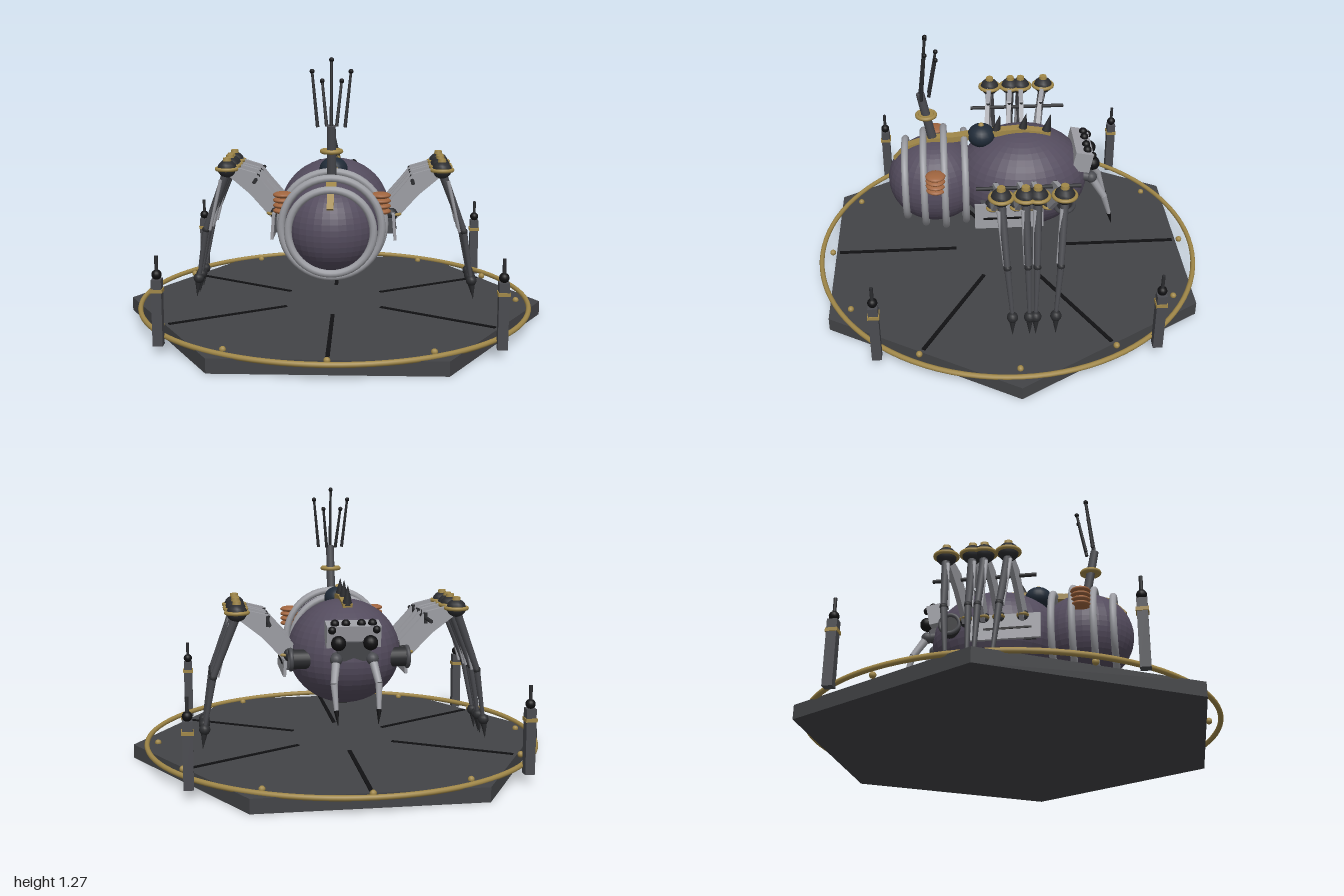
import * as THREE from 'three';

const mat = (color, flatShading = false) => new THREE.MeshStandardMaterial({ color, flatShading });
const M = {
  base: mat(0x434447, true), dark: mat(0x2b2c2f), black: mat(0x111113), gold: mat(0xa08748),
  steel: mat(0x9c9da3), gun: mat(0x4a4b50), shell: mat(0x544c5e, true), copper: mat(0xa0653f), glass: mat(0x202b38),
};
const V = (x, y, z) => new THREE.Vector3(x, y, z);

export function createModel() {
  const root = new THREE.Group();
  root.name = 'mechanicalSpider';

  const add = (name, geo, material, pos = [0, 0, 0], rot = [0, 0, 0], parent = root) => {
    const m = new THREE.Mesh(geo, material);
    m.name = name;
    m.position.set(...pos);
    m.rotation.set(...rot);
    parent.add(m);
    return m;
  };
  const ball = (name, r, material, pos, scale = [1, 1, 1], parent = root, seg = 16) => {
    const m = add(name, new THREE.SphereGeometry(r, seg, Math.ceil(seg * 0.7)), material, pos, [0, 0, 0], parent);
    m.scale.set(...scale);
    return m;
  };
  const box = (name, size, material, pos, rot, parent) =>
    add(name, new THREE.BoxGeometry(...size), material, pos, rot, parent);
  // tapered round bar from a to b
  const rod = (name, a, b, ra, rb, material, parent = root, seg = 10) => {
    const p = V(...a), d = V(...b).sub(p);
    const m = add(name, new THREE.CylinderGeometry(rb, ra, d.length(), seg), material, [0, 0, 0], [0, 0, 0], parent);
    m.position.copy(p).addScaledVector(d, 0.5);
    m.quaternion.setFromUnitVectors(V(0, 1, 0), d.normalize());
    return m;
  };
  const ring = (name, R, t, material, pos, rot, parent, seg = 40) =>
    add(name, new THREE.TorusGeometry(R, t, 10, seg), material, pos, rot, parent);
  // plate outlined in the xy plane with thickness along z
  const plate = (name, pts, depth, material, z, parent) => {
    const g = new THREE.ExtrudeGeometry(new THREE.Shape(pts.map(p => new THREE.Vector2(...p))), { depth, bevelEnabled: false });
    g.translate(0, 0, -depth / 2);
    return add(name, g, material, [0, 0, z], [0, 0, 0], parent);
  };
  const flat = [Math.PI / 2, 0, 0];

  // Platform: hexagonal slab, rail, rivets, grooves
  add('platform', new THREE.CylinderGeometry(1, 1, 0.065, 6), M.base, [0, 0.0325, 0], [0, Math.PI / 6, 0]);
  ring('platformRail', 0.937, 0.012, M.gold, [0, 0.07, 0], flat, root, 96);
  for (let i = 0; i < 12; i++) {
    const a = i * Math.PI / 6;
    ball('rivet', 0.015, M.gold, [0.885 * Math.cos(a), 0.07, 0.885 * Math.sin(a)], [1, 1, 1], root, 10);
    if (i % 2) box('groove', [0.59, 0.008, 0.018], M.black, [0.555 * Math.cos(a), 0.066, 0.555 * Math.sin(a)], [0, -a, 0]);
  }

  // Corner beacons
  for (const x of [-0.74, 0.74]) for (const z of [-0.632, 0.632]) {
    const g = new THREE.Group();
    g.name = 'beacon';
    g.position.set(x, 0, z);
    root.add(g);
    box('beaconPost', [0.044, 0.295, 0.044], M.gun, [0, 0.187, 0], [0, 0, 0], g);
    box('beaconBand', [0.052, 0.016, 0.052], M.gold, [0, 0.285, 0], [0, 0, 0], g);
    ball('beaconLamp', 0.022, M.black, [0, 0.354, 0], [1, 1, 1], g);
    rod('beaconAerial', [0, 0.36, 0], [0, 0.437, 0], 0.008, 0.008, M.dark, g);
  }

  // Body shells
  ball('thorax', 1, M.shell, [0, 0.51, -0.07], [0.265, 0.245, 0.315], root, 36);
  ball('abdomen', 1, M.shell, [0, 0.51, 0.35], [0.21, 0.21, 0.225], root, 36);
  ball('bellyPort', 0.065, M.black, [0, 0.285, -0.05], [1, 0.55, 1]);
  for (const [z, r] of [[0.49, 0.187], [0.402, 0.224], [0.305, 0.238], [0.208, 0.217]])
    ring('abdomenHoop', r, 0.017, M.steel, [0, 0.513, z], [0, 0, 0], root, 48);

  // Gold spine, following the back
  const spine = [[0.535, 0.62], [0.475, 0.685], [0.36, 0.722], [0.25, 0.728], [0.12, 0.745], [-0.05, 0.758], [-0.2, 0.735]];
  spine.slice(1).forEach(([z, y], i) => {
    const [z0, y0] = spine[i];
    box('spinePlate', [i ? 0.046 : 0.03, 0.028, Math.hypot(z - z0, y - y0) + 0.006], M.gold,
      [0, (y + y0) / 2, (z + z0) / 2], [Math.atan2(y - y0, z0 - z), 0, 0]);
  });
  for (const [z, y] of [[0.055, 0.75], [-0.07, 0.755], [-0.185, 0.745]])
    rod('spineSpike', [0, y, z], [0, y + 0.09, z - 0.02], 0.024, 0.001, M.dark);
  ball('backDome', 0.066, M.glass, [0, 0.735, 0.125], [1, 0.85, 1], root, 20);
  ball('domeStud', 0.014, M.gold, [0, 0.788, 0.125]);

  // Mast with aerial fan
  rod('mast', [0, 0.69, 0.35], [0, 0.97, 0.405], 0.022, 0.02, M.gun);
  ring('mastCollar', 0.042, 0.01, M.gold, [0, 0.855, 0.382], flat);
  rod('mastCollarDisc', [0, 0.85, 0.382], [0, 0.86, 0.382], 0.042, 0.042, M.gold);
  for (const [x0, z0, x1, y1, z1] of [[0, 0.405, 0, 1.255, 0.372], [-0.06, 0.4, -0.085, 1.205, 0.375],
    [0.06, 0.4, 0.085, 1.205, 0.375], [-0.022, 0.365, -0.043, 1.16, 0.327], [0.022, 0.365, 0.043, 1.16, 0.327]]) {
    rod('aerial', [x0, 0.963, z0], [x1, y1, z1], 0.008, 0.006, M.dark);
    ball('aerialTip', 0.011, M.black, [x1, y1, z1], [1, 1, 1], root, 10);
  }

  // Head block and upper eyes
  box('headBlock', [0.245, 0.1, 0.085], M.steel, [0, 0.635, -0.35], [-0.2, 0, 0]);
  box('faceMask', [0.15, 0.09, 0.05], M.gun, [0, 0.565, -0.365], [-0.2, 0, 0]);
  for (const x of [-0.085, -0.035, 0.035, 0.085]) ball('smallEye', 0.02, M.black, [x, 0.685, -0.375]);

  for (const s of [-1, 1]) {
    // Face: large eyes and fangs
    ball('largeEye', 0.034, M.black, [s * 0.072, 0.602, -0.405]);
    ball('outerEye', 0.018, M.black, [s * 0.1, 0.66, -0.4]);
    rod('fangMount', [s * 0.07, 0.54, -0.31], [s * 0.082, 0.528, -0.4], 0.025, 0.022, M.gun);
    ball('fangJoint', 0.028, M.gun, [s * 0.082, 0.528, -0.4]);
    rod('fangUpper', [s * 0.082, 0.528, -0.4], [s * 0.1, 0.43, -0.462], 0.02, 0.016, M.steel);
    rod('fangLower', [s * 0.1, 0.43, -0.462], [s * 0.095, 0.32, -0.495], 0.016, 0.01, M.steel);
    rod('fangTip', [s * 0.095, 0.32, -0.495], [s * 0.09, 0.257, -0.51], 0.012, 0.001, M.black);

    // Copper coil
    rod('coilCore', [s * 0.218, 0.57, 0.347], [s * 0.218, 0.66, 0.347], 0.03, 0.03, M.copper);
    for (let i = 0; i < 4; i++) ball('coilTurn', 0.047, M.copper, [s * 0.218, 0.58 + i * 0.024, 0.347], [1, 0.32, 1]);

    // Side hatch, vent slot and round port
    box('sidePlate', [0.014, 0.125, 0.32], M.steel, [s * 0.285, 0.465, 0.01], [0, 0, s * 0.08]);
    box('sidePlateStay', [0.08, 0.07, 0.26], M.gun, [s * 0.245, 0.465, 0.01]);
    box('ventSlot', [0.008, 0.01, 0.22], M.black, [s * 0.292, 0.455, 0.02]);
    rod('sidePort', [s * 0.18, 0.505, -0.25], [s * 0.27, 0.505, -0.25], 0.045, 0.045, M.dark, root, 20);
    ring('sidePortRim', 0.045, 0.01, M.gun, [s * 0.27, 0.505, -0.25], [0, Math.PI / 2, 0]);
    rod('legTieRod', [s * 0.37, 0.675, -0.31], [s * 0.37, 0.675, 0.165], 0.009, 0.009, M.dark);

    // Legs: hip z, knee z, foot z
    for (const [hz, kz, fz] of [[0.09, 0.06, 0.02], [-0.02, -0.047, -0.057], [-0.09, -0.1, -0.085], [-0.17, -0.218, -0.176]]) {
      const leg = new THREE.Group();
      leg.name = s > 0 ? 'leftLeg' : 'rightLeg';
      root.add(leg);
      ball('hipBall', 0.033, M.dark, [s * 0.27, 0.515, hz], [1, 1, 1], leg);
      ring('hipRing', 0.022, 0.007, M.gold, [s * 0.292, 0.515, hz], flat, leg, 20);
      const thigh = plate('thigh', [[0.26, 0.5], [0.295, 0.49], [0.4, 0.605], [0.51, 0.695], [0.5, 0.74], [0.37, 0.705], [0.33, 0.655], [0.25, 0.565]],
        0.022, M.steel, 0, leg);
      // skew the plate so it runs from the hip to the knee
      const p = thigh.geometry.attributes.position;
      for (let i = 0; i < p.count; i++) {
        const x = p.getX(i);
        p.setZ(i, p.getZ(i) + hz + (kz - hz) * (x - 0.27) / 0.24);
      }
      thigh.geometry.computeVertexNormals();
      if (s < 0) { // turn half round, then mirror the skew
        thigh.rotation.y = Math.PI;
        for (let i = 0; i < p.count; i++) p.setZ(i, p.getZ(i) - 2 * (hz + (kz - hz) * (p.getX(i) - 0.27) / 0.24));
        thigh.geometry.computeVertexNormals();
      }
      const mz = (hz + kz) / 2;
      rod('thighPin', [s * 0.37, 0.65, mz], [s * 0.37, 0.7, mz], 0.011, 0.011, M.dark, leg);

      // Knee
      ball('kneeHousing', 0.047, M.dark, [s * 0.51, 0.722, kz], [1, 0.9, 1], leg, 12);
      ring('kneeRing', 0.05, 0.009, M.gold, [s * 0.51, 0.722, kz], flat, leg, 28);
      rod('kneeCap', [s * 0.51, 0.75, kz], [s * 0.51, 0.775, kz], 0.022, 0.018, M.gold, leg, 12);

      // Shin, piston and foot
      const az = kz + (fz - kz) * 0.5;
      rod('shinUpper', [s * 0.515, 0.7, kz], [s * 0.622, 0.42, az], 0.02, 0.015, M.gun, leg);
      rod('shinPiston', [s * 0.54, 0.67, kz + 0.014], [s * 0.6, 0.42, az + 0.012], 0.009, 0.007, M.steel, leg);
      ball('shinJoint', 0.018, M.dark, [s * 0.622, 0.42, az], [1, 1, 1], leg, 10);
      rod('shinLower', [s * 0.622, 0.42, az], [s * 0.663, 0.18, fz], 0.016, 0.009, M.gun, leg);
      ball('footBall', 0.026, M.dark, [s * 0.665, 0.172, fz], [1, 1, 1], leg, 12);
      rod('footSpike', [s * 0.667, 0.16, fz], [s * 0.675, 0.08, fz], 0.017, 0.001, M.dark, leg);
    }
  }
  return root;
}
